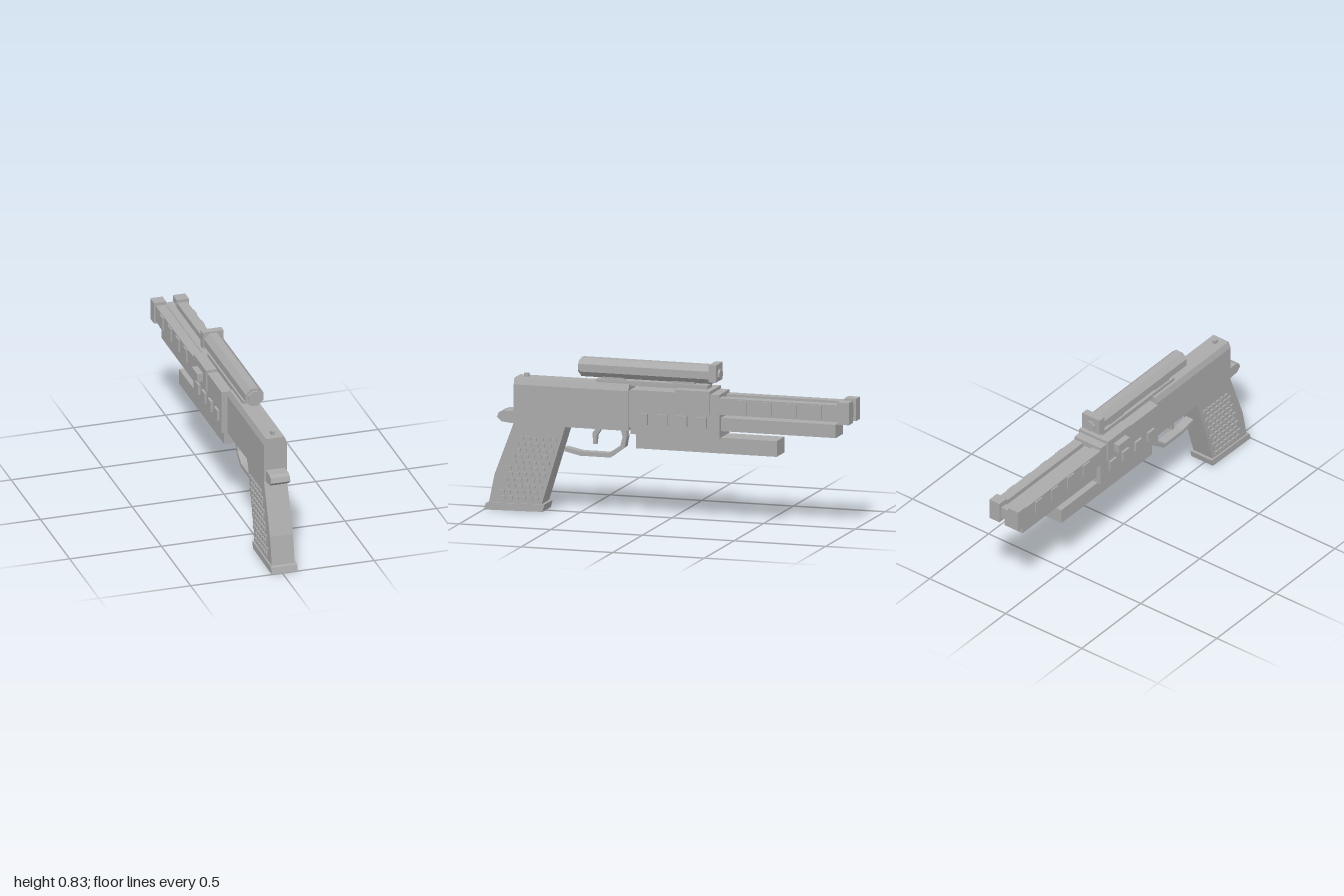
import * as THREE from 'three';
import { mergeGeometries } from 'three/addons/utils/BufferGeometryUtils.js';

const CX = 0.0125; // middle plane of the model

export function createModel() {
  const model = new THREE.Group();
  const grey = new THREE.MeshStandardMaterial({ color: 0xaaaaaa, flatShading: true });
  grey.name = 'grey';

  const add = (name, geometry) => {
    const mesh = new THREE.Mesh(geometry, grey);
    mesh.name = name;
    model.add(mesh);
    return mesh;
  };
  // Box from its limits, with x measured from the middle plane
  const boxGeo = (x0, x1, y0, y1, z0, z1) =>
    new THREE.BoxGeometry(x1 - x0, y1 - y0, z1 - z0)
      .translate(CX + (x0 + x1) / 2, (y0 + y1) / 2, (z0 + z1) / 2);
  const box = (name, ...limits) => add(name, boxGeo(...limits));
  // The same box on both sides
  const pair = (x0, x1, ...rest) => [boxGeo(x0, x1, ...rest), boxGeo(-x1, -x0, ...rest)];
  const outline = (points) => new THREE.Shape(points.map(([a, b]) => new THREE.Vector2(a, b)));
  // Side outline given as (z, y), extruded across x
  const side = (name, points, width) =>
    add(name, new THREE.ExtrudeGeometry(outline(points), { depth: width, bevelEnabled: false })
      .translate(0, 0, -width / 2).rotateY(-Math.PI / 2).translate(CX, 0, 0));

  // Grip and its base
  side('grip', [[0.976, 0.035], [0.944, 0.19], [0.842, 0.46], [0.559, 0.46], [0.69, 0.035]], 0.125);
  side('gripBase', [[1, 0], [0.99, 0.034], [0.975, 0.038], [0.67, 0.045], [0.68, 0.006]], 0.142);

  // Staggered studs on both grip faces, following the slant of the grip
  const studs = [];
  for (let row = 0; row < 11; row++) {
    const y = 0.071 + row * 0.0318;
    const front = 0.559 + (0.46 - y) * 0.308 + 0.035 + (row % 2) * 0.018;
    for (let col = 0; col < 6; col++) {
      const z = front + col * 0.036;
      studs.push(...pair(0.06, 0.071, y - 0.009, y + 0.009, z - 0.012, z + 0.012));
    }
  }
  add('gripStuds', mergeGeometries(studs));

  // Rear body with chamfered top edges
  const section = outline([[-0.0625, 0.46], [0.0625, 0.46], [0.0625, 0.67],
    [0.05, 0.703], [-0.05, 0.703], [-0.0625, 0.67]]);
  add('rearBody', new THREE.ExtrudeGeometry(section, { depth: 0.626, bevelEnabled: false })
    .translate(CX, 0, 0.214));
  box('bodyJoint', -0.05, 0.05, 0.48, 0.67, 0.19, 0.22);
  side('rearSpur', [[0.83, 0.525], [0.9, 0.525], [0.925, 0.515], [0.935, 0.49],
    [0.91, 0.468], [0.83, 0.46]], 0.104);
  box('rearSight', -0.009, 0.009, 0.7, 0.722, 0.777, 0.802);

  // Trigger and guard
  side('triggerGuard', [[0.573, 0.346], [0.485, 0.328], [0.335, 0.328], [0.27, 0.372], [0.258, 0.42],
    [0.27, 0.462], [0.243, 0.462], [0.236, 0.42], [0.246, 0.365], [0.325, 0.306], [0.49, 0.306],
    [0.575, 0.325]], 0.05);
  side('trigger', [[0.4, 0.465], [0.425, 0.43], [0.422, 0.37], [0.405, 0.37], [0.402, 0.415],
    [0.37, 0.465]], 0.03);

  // Central housing with saddle plate and side knob
  box('housing', -0.0865, 0.0865, 0.45, 0.684, -0.29, 0.195);
  box('saddle', -0.095, 0.095, 0.58, 0.7, -0.24, -0.05);
  box('sideKnob', -0.1275, -0.09, 0.617, 0.663, -0.19, -0.095);
  const housingPads = [];
  for (let i = 0; i < 4; i++) {
    const z = 0.126 - i * 0.1073;
    housingPads.push(...pair(0.08, 0.0995, 0.505, 0.563, z - 0.027, z + 0.027));
  }
  add('housingPads', mergeGeometries(housingPads));

  // Twin rails with pads, muzzle blocks and the slim bar between them
  add('sideRails', mergeGeometries(pair(0.031, 0.086, 0.58, 0.668, -0.95, -0.28)));
  add('muzzleBlocks', mergeGeometries(pair(0.028, 0.095, 0.568, 0.685, -1, -0.935)));
  box('centreBar', -0.02, 0.02, 0.59, 0.655, -0.985, -0.28);
  box('muzzleBridge', -0.03, 0.03, 0.59, 0.655, -0.985, -0.945);
  const railPads = [];
  for (let i = 0; i < 4; i++) {
    const z = -0.415 - i * 0.135;
    railPads.push(...pair(0.08, 0.0945, 0.59, 0.662, z - 0.027, z + 0.027));
  }
  add('railPads', mergeGeometries(railPads));

  // Lower barrel and bottom bar
  box('lowerBarrel', -0.06, 0.06, 0.489, 0.559, -0.917, -0.28);
  box('bottomBar', -0.066, 0.066, 0.372, 0.455, -0.597, 0.17);

  // Scope: octagonal tube, end caps and square front frame
  const octagon = (name, flat, z0, z1) =>
    add(name, new THREE.CylinderGeometry(flat / Math.cos(Math.PI / 8), flat / Math.cos(Math.PI / 8), z1 - z0, 8)
      .rotateY(Math.PI / 8).rotateX(Math.PI / 2).translate(CX, 0.776, (z0 + z1) / 2));
  octagon('scopeTube', 0.049, -0.23, 0.485);
  octagon('scopeEyepiece', 0.036, 0.48, 0.498);
  octagon('scopeLens', 0.028, -0.272, -0.25);
  box('scopeFrame', -0.057, 0.057, 0.742, 0.833, -0.262, -0.222);

  // Scope mount
  box('mountRail', -0.036, 0.036, 0.695, 0.72, -0.21, 0.4);
  for (const z of [0.308, -0.075]) box('mountBlock', -0.025, 0.025, 0.715, 0.735, z - 0.06, z + 0.06);

  return model;
}
